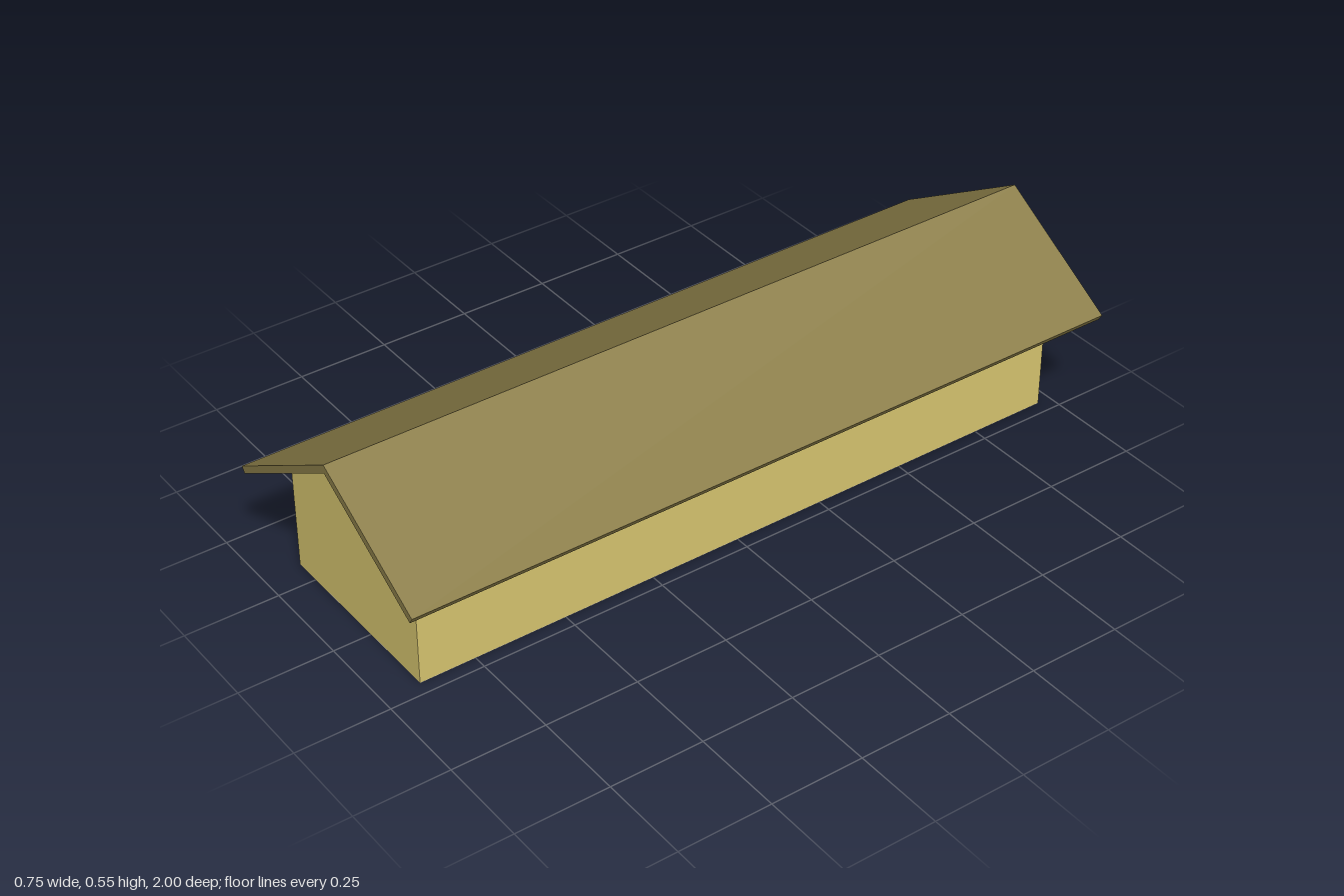
import * as THREE from 'three';

// Extrude an x-y outline from z0 to z1
function prism(name, points, z0, z1, color) {
  const shape = new THREE.Shape(points.map(([x, y]) => new THREE.Vector2(x, y)));
  const geometry = new THREE.ExtrudeGeometry(shape, { depth: z1 - z0, bevelEnabled: false });
  geometry.translate(0, 0, z0);
  const mesh = new THREE.Mesh(geometry, new THREE.MeshStandardMaterial({ color }));
  mesh.name = name;
  return mesh;
}

export function createModel() {
  const group = new THREE.Group();
  group.name = 'gabledHouse';
  const left = 0.214, right = -0.322, back = -0.96, front = 0.9;
  const ridge = 0.027, floorTop = 0.002;

  // Walls with gable ends that meet the underside of the roof
  group.add(prism('walls', [
    [right, floorTop], [left, floorTop], [left, 0.411], [ridge, 0.523], [right, 0.314],
  ], back, front, 0xd8c670));

  // Thin grey floor
  group.add(prism('floor', [
    [right, 0], [left, 0], [left, floorTop], [right, floorTop],
  ], back, front, 0xcccccc));

  // Two roof slopes of unequal length, mitred at the ridge
  group.add(prism('rightRoofSlope', [
    [-0.373, 0.305], [-0.363, 0.289], [ridge, 0.523], [ridge, 0.546],
  ], -1, 1, 0x8a7d48));
  group.add(prism('leftRoofSlope', [
    [0.372, 0.339], [ridge, 0.546], [ridge, 0.523], [0.362, 0.322],
  ], -1, 1, 0x8a7d48));

  return group;
}
